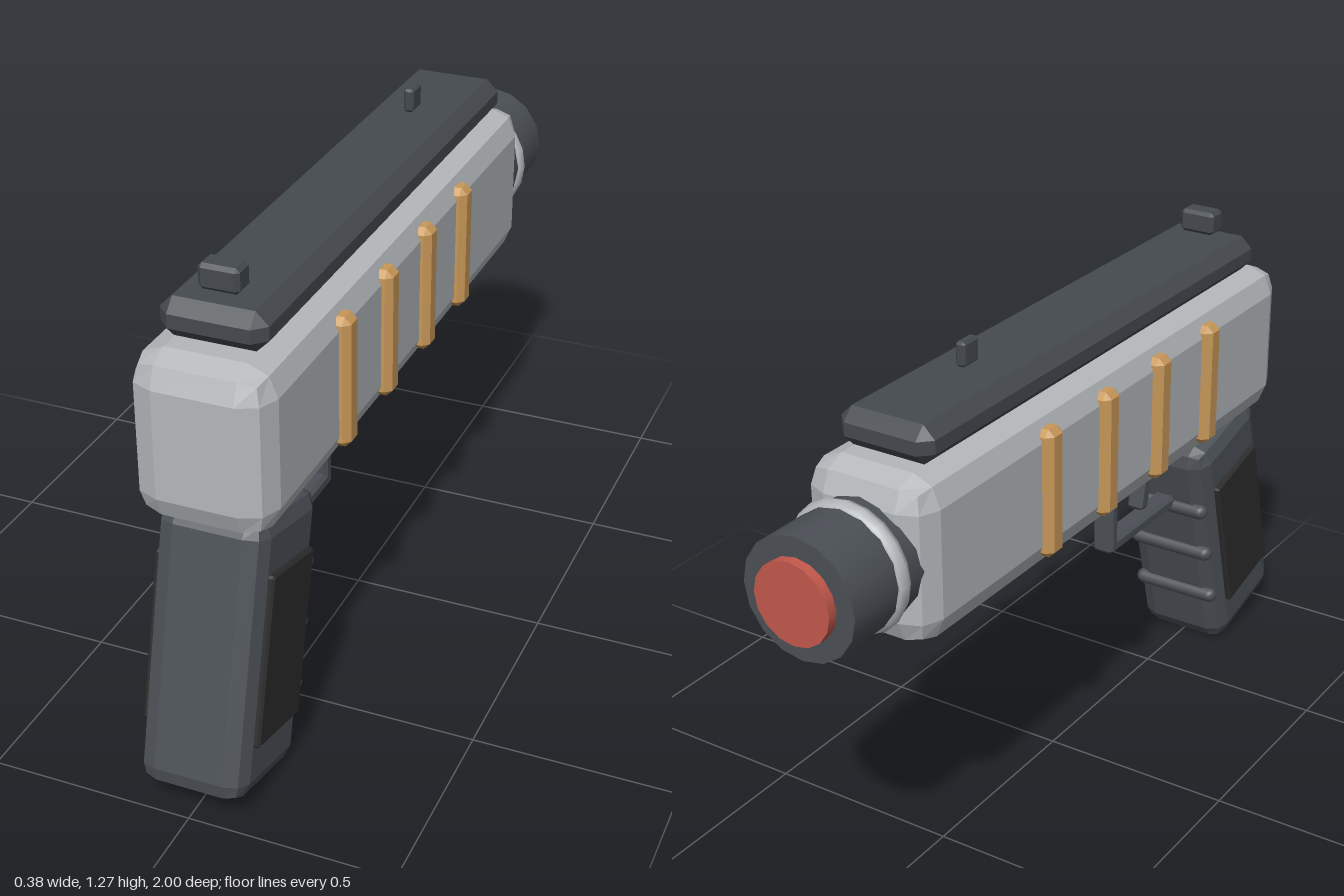
import * as THREE from 'three';
import { RoundedBoxGeometry } from 'three/addons/geometries/RoundedBoxGeometry.js';
import { ConvexGeometry } from 'three/addons/geometries/ConvexGeometry.js';

const material = (name, color) => {
  const m = new THREE.MeshStandardMaterial({ color });
  m.name = name;
  return m;
};

// Box with every edge cut by one flat chamfer
function chamferBox(w, h, d, c) {
  const points = [];
  for (const x of [-1, 1]) for (const y of [-1, 1]) for (const z of [-1, 1]) {
    for (let axis = 0; axis < 3; axis++) {
      const cut = [c, c, c];
      cut[axis] = 0;
      points.push(new THREE.Vector3(x * (w / 2 - cut[0]), y * (h / 2 - cut[1]), z * (d / 2 - cut[2])));
    }
  }
  return new ConvexGeometry(points);
}

// Box with two flat facets around each edge
function facetedBox(w, h, d, r) {
  const g = new RoundedBoxGeometry(w, h, d, 1, r);
  const flat = g.index ? g.toNonIndexed() : g;
  flat.computeVertexNormals();
  return flat;
}

export function createModel() {
  const model = new THREE.Group();
  model.name = 'toyBlaster';

  const shell = material('light grey', 0xb4b8bb);
  const dark = material('dark grey', 0x4b5056);
  const railGrey = material('rail grey', 0x454a4f);
  const rubber = material('black rubber', 0x2d2d2d);
  const brass = material('brass', 0xc89858);
  const red = material('muzzle red', 0xc4594c);

  const add = (parent, name, geometry, mat, x, y, z) => {
    const mesh = new THREE.Mesh(geometry, mat);
    mesh.name = name;
    mesh.position.set(x, y, z);
    parent.add(mesh);
    return mesh;
  };

  // Body, top rail and sights
  add(model, 'body', facetedBox(0.33, 0.405, 1.66, 0.07), shell, 0, 0.9125, 0.065);
  add(model, 'topRail', chamferBox(0.25, 0.093, 1.49, 0.03), railGrey, 0, 1.164, 0.062);
  add(model, 'rearSight', chamferBox(0.096, 0.06, 0.06, 0.009), railGrey, 0, 1.253, 0.726);
  add(model, 'frontSight', chamferBox(0.026, 0.06, 0.06, 0.006), railGrey, 0, 1.253, -0.354);

  // Brass ribs along both sides
  for (const side of [-1, 1]) {
    for (let i = 0; i < 4; i++) {
      add(model, 'sideRib', chamferBox(0.05, 0.327, 0.066, 0.016), brass,
        side * 0.163, 0.9125, 0.478 - i * 0.249);
    }
  }

  // Barrel parts share one axis
  const barrelY = 0.912;
  const disc = (r, len) => new THREE.CylinderGeometry(r, r, len, 16).rotateX(Math.PI / 2);
  add(model, 'muzzle', disc(0.148, 0.246), dark, 0, barrelY, -0.853);
  add(model, 'muzzleTip', disc(0.1, 0.06), red, 0, barrelY, -0.97);
  add(model, 'collar', new THREE.TorusGeometry(0.135, 0.025, 8, 20), shell, 0, barrelY, -0.808);

  // Raked grip with side panels and finger ridges
  const grip = new THREE.Group();
  grip.name = 'grip';
  grip.position.set(0, 0.372, 0.768);
  grip.rotation.x = -0.25;
  model.add(grip);
  add(grip, 'gripCore', facetedBox(0.262, 0.68, 0.32, 0.048), dark, 0, 0, 0);
  for (const side of [-1, 1]) {
    add(grip, 'gripPanel', chamferBox(0.03, 0.41, 0.222, 0.006), rubber, side * 0.13, 0, 0);
  }
  for (const y of [0.15, 0, -0.155]) {
    add(grip, 'fingerRidge', new THREE.CapsuleGeometry(0.022, 0.21, 4, 10).rotateZ(Math.PI / 2), dark, 0, y, -0.155);
  }

  // Trigger and its guard
  const trigger = add(model, 'trigger', chamferBox(0.045, 0.158, 0.042, 0.008), dark, 0, 0.607, 0.437);
  trigger.rotation.x = 0.22;
  add(model, 'guardBar', chamferBox(0.06, 0.037, 0.362, 0.009), dark, 0, 0.492, 0.419);
  add(model, 'guardPost', chamferBox(0.06, 0.203, 0.037, 0.009), dark, 0, 0.575, 0.2565);

  return model;
}
